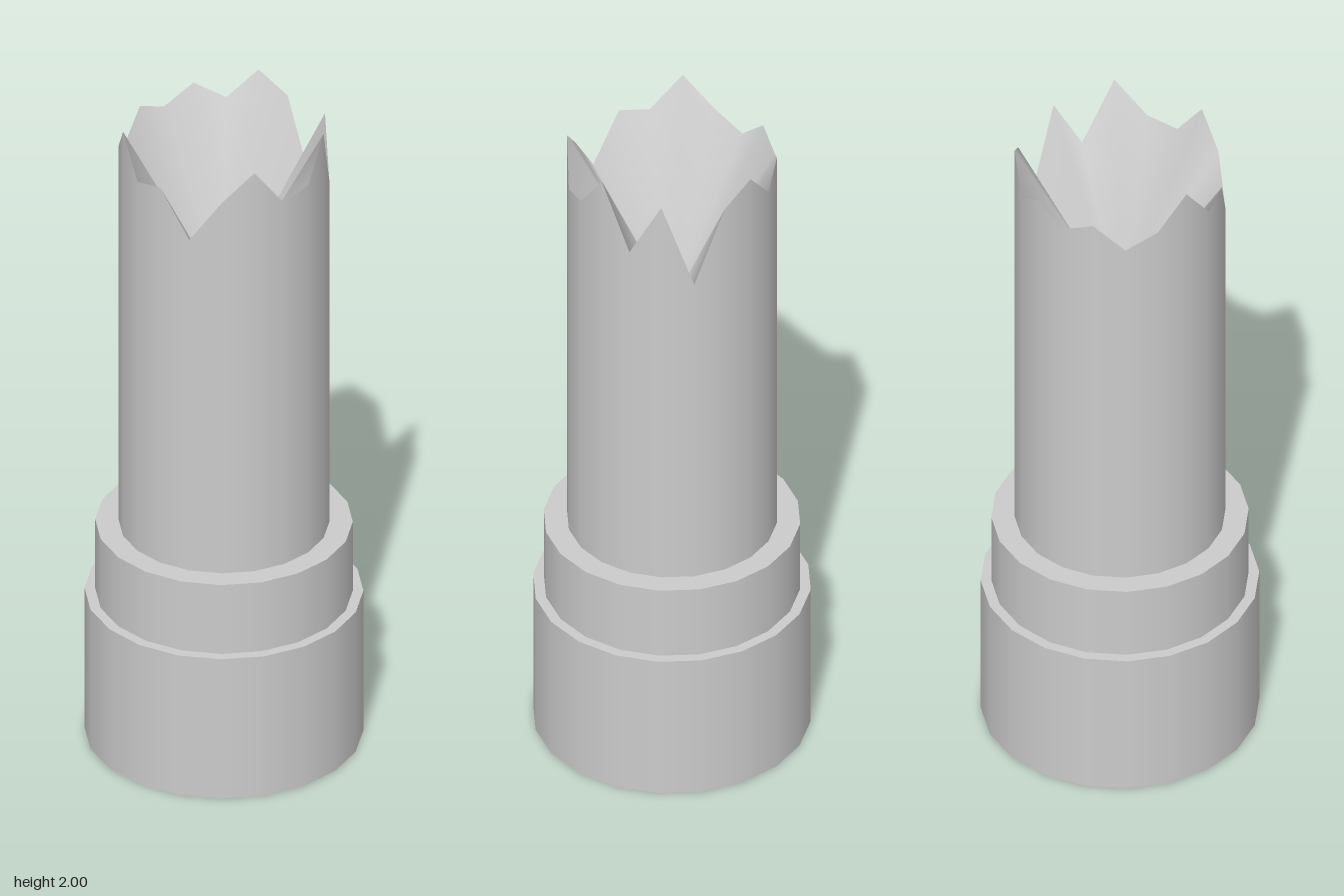
import * as THREE from 'three';

const SIDES = 20;
const SHAFT_R = 0.298;
const BOWL_Y = 1.42; // lowest point of the broken hollow

// Height of each broken rim corner, going round from the front (+z) through +x
const RIM = [
  1.89, 1.98, 1.86, 1.88, 2.0, 1.79, 1.96, 1.69, 1.93, 1.99,
  1.89, 1.945, 1.89, 1.93, 1.85, 1.9, 2.0, 1.885, 1.905, 1.76,
];

export function createModel() {
  const group = new THREE.Group();
  const material = new THREE.MeshStandardMaterial({ color: 0xcccccc });

  const add = (name, geometry) => {
    const mesh = new THREE.Mesh(geometry, material);
    mesh.name = name;
    group.add(mesh);
    return mesh;
  };

  // Stepped drums at the foot
  const drum = (name, radius, bottom, top) => {
    const geometry = new THREE.CylinderGeometry(radius, radius, top - bottom, SIDES);
    add(name, geometry.translate(0, (bottom + top) / 2, 0));
  };
  drum('base', 0.394, 0, 0.455);
  drum('collar', 0.364, 0.455, 0.68);

  // Shaft: open cylinder whose top ring follows the broken rim
  const shaft = new THREE.CylinderGeometry(SHAFT_R, SHAFT_R, 1, SIDES, 1, true);
  shaft.translate(0, 0.68 + 0.5, 0);
  for (let i = 0; i <= SIDES; i++) shaft.attributes.position.setY(i, RIM[i % SIDES]);
  add('shaft', shaft);

  // Hollow: smooth fan from the rim down to a central point
  const points = [0, BOWL_Y, 0];
  const faces = [];
  RIM.forEach((y, i) => {
    const a = (i / SIDES) * Math.PI * 2;
    points.push(SHAFT_R * Math.sin(a), y, SHAFT_R * Math.cos(a));
    faces.push(0, i + 1, ((i + 1) % SIDES) + 1);
  });
  const hollow = new THREE.BufferGeometry();
  hollow.setAttribute('position', new THREE.Float32BufferAttribute(points, 3));
  hollow.setIndex(faces);
  hollow.computeVertexNormals();
  add('brokenHollow', hollow);

  return group;
}
